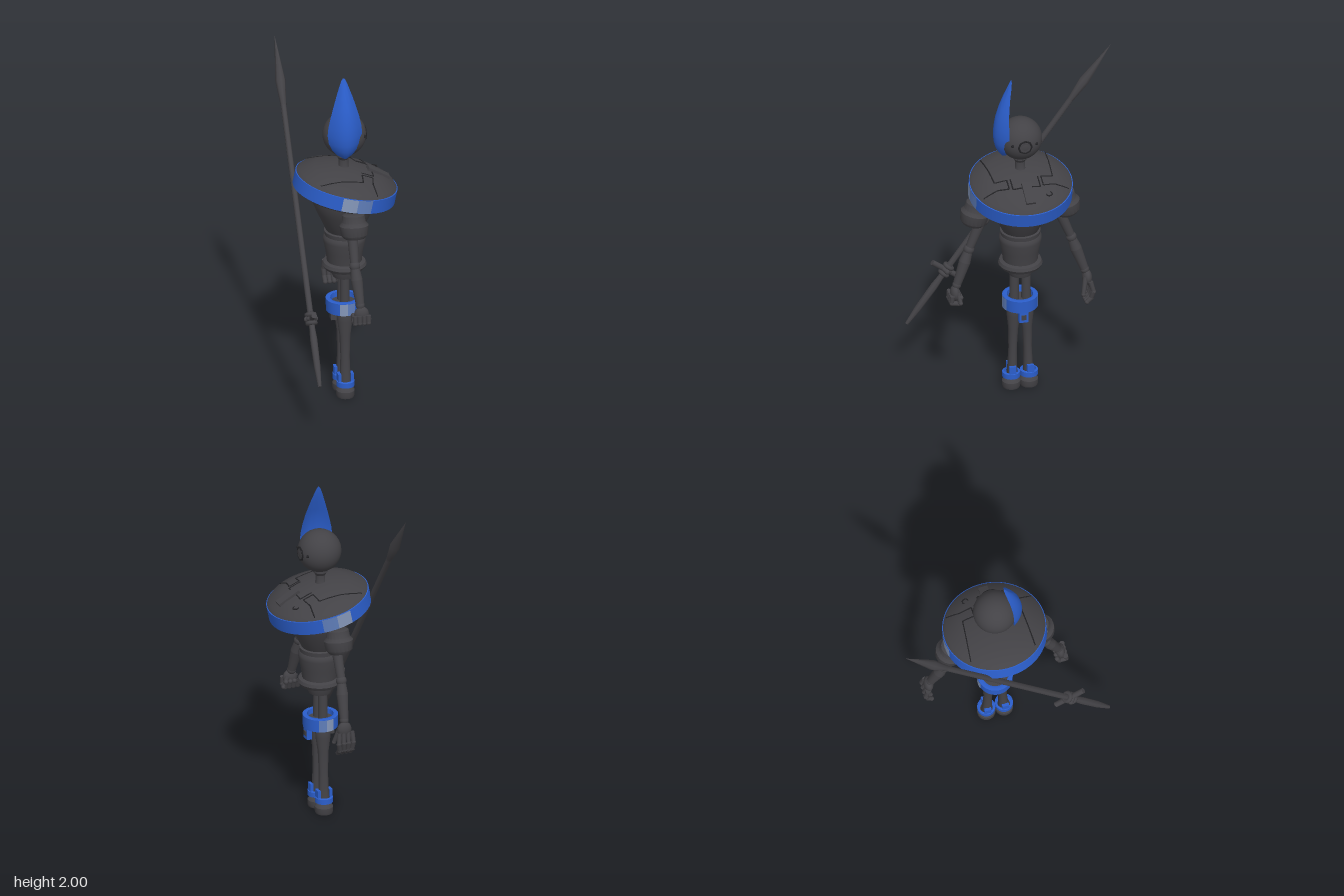
import * as THREE from 'three';
import { toCreasedNormals } from 'three/addons/utils/BufferGeometryUtils.js';

const mat = (name, color) => Object.assign(new THREE.MeshStandardMaterial({ color }), { name });
const dark = mat('charcoal', 0x434246);
const black = mat('grooveBlack', 0x232326);
const blue = mat('blue', 0x2b5ecb);
const worn = mat('wornBlue', 0x5f7db8);
const pale = mat('paleBlue', 0x8496b8);

const V = (x, y, z) => new THREE.Vector3(x, y, z);

function add(parent, name, geometry, material, x = 0, y = 0, z = 0) {
  const m = new THREE.Mesh(geometry, material);
  m.name = name;
  m.position.set(x, y, z);
  parent.add(m);
  return m;
}

// Turned part from [radius, height] pairs listed bottom to top
function lathe(profile, seg = 40) {
  const g = new THREE.LatheGeometry(profile.map(([r, y]) => new THREE.Vector2(r, y)), seg);
  return toCreasedNormals(g, 0.6);
}

// Tapered rod between two points
function link(parent, name, a, b, r1, r2, material = dark, seg = 14) {
  const d = b.clone().sub(a);
  const m = add(parent, name, new THREE.CylinderGeometry(r2, r1, d.length(), seg), material);
  m.position.copy(a).addScaledVector(d, 0.5);
  m.quaternion.setFromUnitVectors(V(0, 1, 0), d.normalize());
  return m;
}

const ball = (parent, name, p, r, material = dark) =>
  add(parent, name, new THREE.SphereGeometry(r, 18, 12), material, p.x, p.y, p.z);

// Worn patches on both sides of a round band
function patches(parent, r, h, y, from, to) {
  const split = (from + to) / 2;
  for (const turn of [0, Math.PI])
    for (const [a, b, m] of [[from, split, pale], [split, to, worn]]) {
      const start = turn ? turn - b : a;
      add(parent, 'wornPatch', new THREE.CylinderGeometry(r, r, h, 10, 1, true, start, b - a), m, 0, y, 0);
    }
}

// Curved leaf-shaped crest made of crescent cross-sections
function crestGeometry() {
  // height, half width, outer depth
  const rows = [[1.515, 0.012, 0.105], [1.535, 0.045, 0.122], [1.57, 0.075, 0.142], [1.61, 0.094, 0.152],
    [1.66, 0.101, 0.155], [1.71, 0.096, 0.151], [1.77, 0.083, 0.141], [1.83, 0.066, 0.123],
    [1.89, 0.047, 0.1], [1.95, 0.026, 0.073], [1.985, 0.012, 0.057], [1.997, 0.003, 0.051]];
  const n = 10, pos = [], idx = [], loop = 2 * n;
  for (const [y, w, z] of rows)
    for (let j = 0; j < loop; j++) {
      const u = j <= n ? -1 + 2 * j / n : 3 - 2 * j / n;
      const thick = j > n ? Math.min(0.026, w * 0.6) * (1 - u * u) : 0;
      pos.push(-0.01 + u * w, y, z - 0.7 * w * u * u - thick);
    }
  for (let i = 0; i < rows.length - 1; i++)
    for (let j = 0; j < loop; j++) {
      const a = i * loop + j, b = i * loop + (j + 1) % loop;
      idx.push(a, b, a + loop, b, b + loop, a + loop);
    }
  const g = new THREE.BufferGeometry();
  g.setAttribute('position', new THREE.Float32BufferAttribute(pos, 3));
  g.setIndex(idx);
  return toCreasedNormals(g, 0.7);
}

function buildHead(root) {
  const head = new THREE.Group();
  head.name = 'head';
  root.add(head);
  add(head, 'skull', new THREE.SphereGeometry(0.125, 40, 28), dark, 0.005, 1.622, 0);
  add(head, 'neck', lathe([[0.045, 1.39], [0.028, 1.43], [0.028, 1.47], [0.042, 1.49], [0.042, 1.52]], 24), dark);
  add(head, 'crest', crestGeometry(), blue);
  const eye = add(head, 'eyeRing', new THREE.TorusGeometry(0.038, 0.006, 6, 8), black, 0.123, 1.622, 0);
  eye.rotation.y = Math.PI / 2;
  const lens = add(head, 'eyeLens', new THREE.CylinderGeometry(0.032, 0.032, 0.008, 8), dark, 0.124, 1.622, 0);
  lens.rotation.z = -Math.PI / 2;
  for (const s of [-1, 1]) ball(head, 'sideRivet', V(0.108, 1.63, s * 0.07), 0.009, black);
}

// Tilted shield-like collar with panel lines on its dome
function buildCollar(root) {
  const collar = new THREE.Group();
  collar.name = 'collar';
  collar.position.set(0.01, 1.3, 0);
  collar.rotation.z = -0.205;
  root.add(collar);
  const dome = [[0.293, 0.04], [0.275, 0.06], [0.2, 0.093], [0.1, 0.117], [0, 0.124]];
  add(collar, 'dome', lathe(dome, 64), dark);
  add(collar, 'underside', lathe([[0, -0.07], [0.2, -0.07], [0.265, -0.06], [0.28, -0.04]], 64), dark);
  add(collar, 'band', lathe([[0.27, -0.042], [0.297, -0.042], [0.297, 0.04], [0.285, 0.043]], 64), blue);
  patches(collar, 0.2985, 0.08, -0.001, -0.27, 0.33);

  const onDome = (x, z, lift = 0) => {
    const r = Math.hypot(x, z);
    let i = 0;
    while (i < dome.length - 2 && r < dome[i + 1][0]) i++;
    const [r0, h0] = dome[i], [r1, h1] = dome[i + 1];
    return V(x, h0 + (h1 - h0) * (r - r0) / (r1 - r0) + lift, z);
  };
  const lines = [[[-0.2, 0.19], [0.05, 0.17], [0.055, 0.1], [0.12, 0.1], [0.11, 0.17], [0.125, 0.25]],
    [[0.13, 0], [0.13, 0.08], [0.055, 0.08]]];
  for (const s of [-1, 1])
    for (const path of lines)
      for (let k = 0; k < path.length - 1; k++)
        for (let t = 0; t < 4; t++) {
          const at = (f) => onDome(path[k][0] + (path[k + 1][0] - path[k][0]) * f,
            s * (path[k][1] + (path[k + 1][1] - path[k][1]) * f));
          link(collar, 'panelLine', at(t / 4), at((t + 1) / 4), 0.004, 0.004, black, 5);
        }
  const bar = add(collar, 'frontBar', new THREE.BoxGeometry(0.14, 0.02, 0.055), dark);
  bar.position.copy(onDome(0.175, 0, 0.003));
  bar.rotation.z = -0.3;
  const port = add(collar, 'port', new THREE.TorusGeometry(0.017, 0.004, 6, 16), black);
  port.position.copy(onDome(0.18, -0.12));
  port.rotation.x = Math.PI / 2;
}

function buildTorso(root) {
  add(root, 'chest', lathe([[0.09, 1.01], [0.105, 1.03], [0.16, 1.15], [0.185, 1.21], [0.19, 1.27]]), dark, 0.005);
  add(root, 'waist', lathe([[0.09, 0.785], [0.115, 0.79], [0.127, 0.81], [0.12, 0.828], [0.1, 0.835],
    [0.108, 0.9], [0.122, 0.965], [0.122, 0.985], [0.113, 1.0], [0.116, 1.025], [0.09, 1.035]]), dark, 0.005);
  add(root, 'pelvis', lathe([[0, 0.735], [0.064, 0.735], [0.085, 0.79], [0.085, 0.81]]), dark, 0.003);
}

function buildLegs(root) {
  for (const s of [-1, 1]) {
    const leg = new THREE.Group();
    leg.name = 'leg';
    root.add(leg);
    link(leg, 'thigh', V(0, 0.5, s * 0.036), V(0, 0.76, s * 0.034), 0.029, 0.026);
    const shin = add(leg, 'shin', lathe([[0.036, 0.06], [0.03, 0.15], [0.027, 0.25], [0.032, 0.38],
      [0.044, 0.47], [0.046, 0.53], [0.03, 0.56]], 24), dark);
    shin.position.z = s * 0.05;
    shin.scale.z = 0.9;
    shin.rotation.x = -s * 0.025;
    const z = s * 0.052;
    add(leg, 'foot', lathe([[0, 0], [0.049, 0], [0.053, 0.012], [0.053, 0.04], [0.042, 0.054], [0.03, 0.058],
      [0.03, 0.075]], 24), dark, 0, 0, z);
    add(leg, 'ankleBand', lathe([[0.035, 0.065], [0.052, 0.068], [0.052, 0.098], [0.04, 0.102]], 24), blue, 0, 0, z);
    for (const x of [-1, 1])
      add(leg, 'ankleTab', new THREE.BoxGeometry(0.018, 0.06, 0.04), blue, x * 0.037, 0.115, z);
  }
  // One cuff joins both knees
  add(root, 'kneeCuff', lathe([[0.075, 0.6], [0.08, 0.523], [0.1, 0.523], [0.102, 0.597], [0.085, 0.6],
    [0.075, 0.597], [0.07, 0.53]], 40), blue).material.side = THREE.DoubleSide;
  patches(root, 0.1035, 0.072, 0.56, -0.4, 0.48);
  add(root, 'cuffCore', new THREE.CylinderGeometry(0.076, 0.07, 0.05, 32), dark, 0, 0.545, 0);
  add(root, 'frontBuckle', new THREE.BoxGeometry(0.03, 0.07, 0.055), blue, 0.078, 0.492, 0);
  add(root, 'buckleInset', new THREE.BoxGeometry(0.006, 0.03, 0.03), dark, 0.094, 0.49, 0);
  add(root, 'backTab', new THREE.BoxGeometry(0.03, 0.055, 0.05), dark, -0.062, 0.497, 0);
}

function buildArm(root, s, open) {
  const arm = new THREE.Group();
  arm.name = open ? 'openHandArm' : 'fistArm';
  root.add(arm);
  const P = (x, y, z) => V(x, y, s * z);
  const pad = add(arm, 'shoulderPad', lathe([[0, -0.07], [0.06, -0.07], [0.077, -0.05], [0.084, 0.005],
    [0.068, 0.025], [0.064, 0.065], [0.05, 0.072], [0, 0.072]], 20), dark, 0.003, 1.165, s * 0.265);
  pad.rotation.x = -s * 0.2;
  const shoulder = P(0, 1.12, 0.225), elbow = P(0, 0.93, 0.3), wrist = P(0.015, 0.715, 0.375);
  ball(arm, 'shoulderJoint', shoulder, 0.045);
  link(arm, 'upperArm', shoulder, elbow, 0.032, 0.024);
  ball(arm, 'elbow', elbow, 0.031);
  const mid = elbow.clone().lerp(wrist, 0.35);
  link(arm, 'forearmTop', elbow, mid, 0.024, 0.034);
  link(arm, 'forearm', mid, wrist, 0.034, 0.024);
  ball(arm, 'wrist', wrist, 0.026);
  const palm = ball(arm, 'palm', P(0.02, 0.665, 0.388), 0.043);
  palm.scale.set(1, 1.1, 0.65);
  for (let i = 0; i < 4; i++) {
    const x = -0.022 + i * 0.026;
    const pts = open
      ? [P(x, 0.65, 0.4), P(x * 1.15, 0.59, 0.415), P(x, 0.545, 0.405), P(x, 0.52, 0.38)]
      : [P(x, 0.665, 0.41), P(x, 0.62, 0.415), P(x, 0.612, 0.375), P(x, 0.65, 0.36)];
    for (let k = 0; k < 3; k++) {
      link(arm, 'finger', pts[k], pts[k + 1], 0.015, 0.013, dark, 8);
      ball(arm, 'knuckle', pts[k + 1], 0.0135);
    }
  }
  const tip = open ? P(0.07, 0.58, 0.355) : P(0.07, 0.62, 0.365);
  link(arm, 'thumb', P(0.04, 0.675, 0.375), tip, 0.015, 0.012, dark, 8);
  ball(arm, 'thumbTip', tip, 0.0125);
}

function buildSpear(root) {
  const spear = new THREE.Group();
  spear.name = 'spear';
  spear.position.set(-0.27, 0.33, 0.6);
  spear.rotation.x = -Math.atan2(1.2, 1.67);
  root.add(spear);
  add(spear, 'shaft', lathe([[0, 0], [0.01, 0.004], [0.019, 0.12], [0.021, 0.28], [0.017, 0.34], [0.016, 1.66]], 14), dark);
  add(spear, 'blade', new THREE.LatheGeometry([[0.016, 1.64], [0.02, 1.68], [0.03, 1.79], [0, 2.056]]
    .map(([r, y]) => new THREE.Vector2(r, y)), 8), dark);
  link(spear, 'crossGuard', V(0, 0.4, -0.1), V(0, 0.4, 0.1), 0.016, 0.016);
  for (const y of [0.375, 0.4, 0.425]) {
    const wrap = add(spear, 'gripWrap', new THREE.TorusGeometry(0.023, 0.013, 8, 18), dark, 0, y, 0);
    wrap.rotation.x = Math.PI / 2;
  }
  for (const s of [-1, 1]) ball(spear, 'gripKnot', V(s * 0.026, 0.4, 0), 0.016);
}

export function createModel() {
  const root = new THREE.Group();
  root.name = 'spearRobot';
  buildHead(root);
  buildCollar(root);
  buildTorso(root);
  buildLegs(root);
  buildArm(root, 1, false);
  buildArm(root, -1, true);
  buildSpear(root);
  return root;
}
